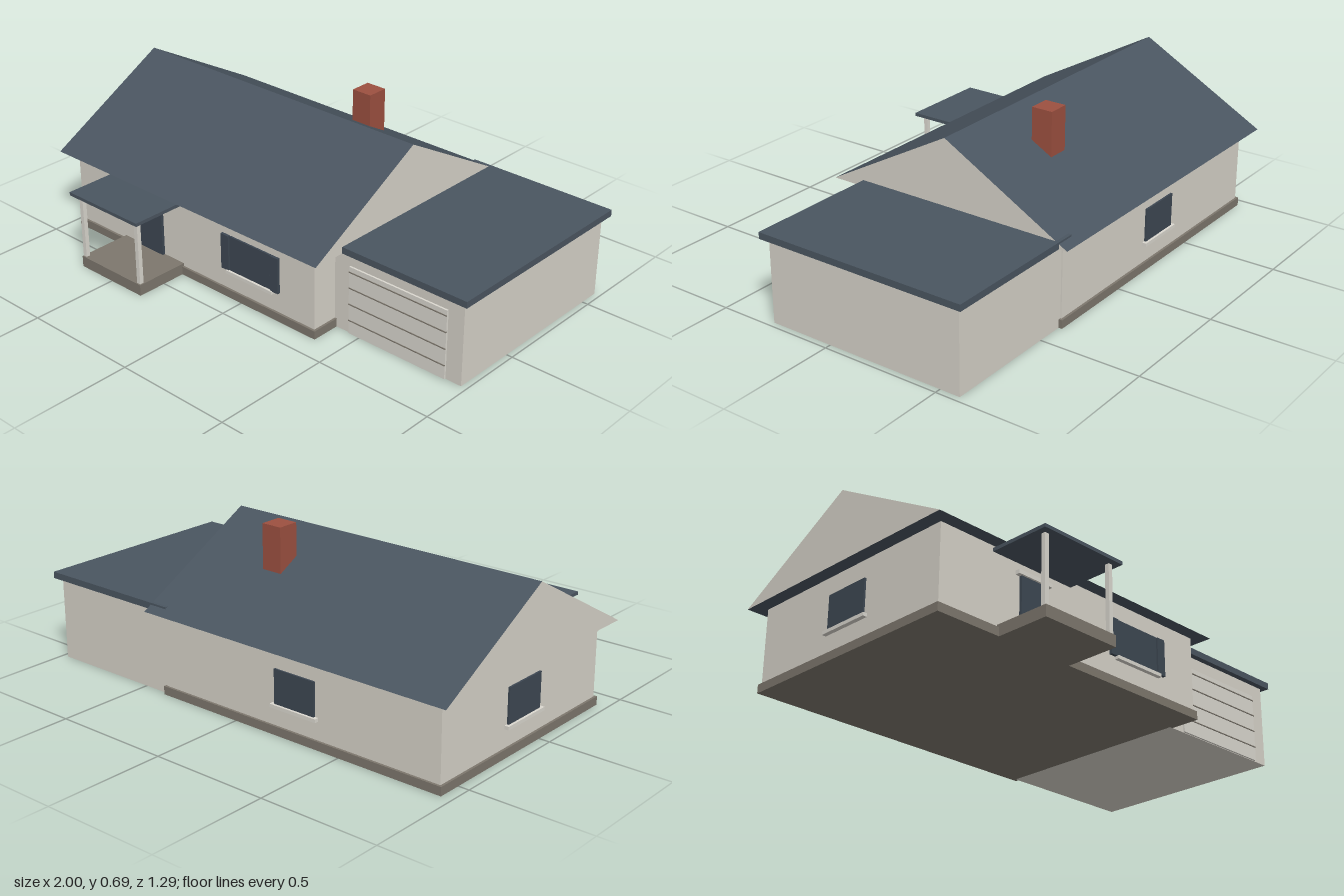
import * as THREE from 'three';

const mat = (name, color) => {
  const m = new THREE.MeshStandardMaterial({ color });
  m.name = name;
  return m;
};

export function createModel() {
  const house = new THREE.Group();
  house.name = 'house';
  const wall = mat('wall cream', 0xd6d2c8);
  const trim = mat('trim white', 0xdad7cf);
  const roof = mat('roof slate', 0x4a5560);
  const stone = mat('base stone', 0x7d776d);
  const brick = mat('chimney brick', 0x9c5040);
  const glass = mat('dark glass', 0x3d4752);

  // Box given by its extents on each axis
  const box = (name, material, [x0, x1], [y0, y1], [z0, z1], parent = house) => {
    const g = new THREE.BoxGeometry(x1 - x0, y1 - y0, z1 - z0);
    const m = new THREE.Mesh(g, material);
    m.position.set((x0 + x1) / 2, (y0 + y1) / 2, (z0 + z1) / 2);
    m.name = name;
    parent.add(m);
    return m;
  };

  // Main body and plinth
  box('plinth', stone, [-0.955, 0.385], [0, 0.035], [-0.6, 0.4]);
  box('mainWalls', wall, [-0.945, 0.375], [0.005, 0.346], [-0.59, 0.39]);

  // Gabled roof: cream gable ends, slate slopes
  const gable = new THREE.Shape([
    new THREE.Vector2(-0.445, 0.345),
    new THREE.Vector2(0.645, 0.345),
    new THREE.Vector2(0.1, 0.645),
  ]);
  const roofGeo = new THREE.ExtrudeGeometry(gable, { depth: 1.43, bevelEnabled: false });
  roofGeo.rotateY(Math.PI / 2);
  const mainRoof = new THREE.Mesh(roofGeo, [wall, roof]);
  mainRoof.position.x = -1;
  mainRoof.name = 'mainRoof';
  house.add(mainRoof);

  box('chimney', brick, [0, 0.09], [0.45, 0.695], [-0.34, -0.25]);

  // Garage with flat roof and panelled door
  box('garageWalls', wall, [0.37, 0.975], [0, 0.346], [-0.585, 0.275]);
  box('garageRoof', roof, [0.35, 1], [0.345, 0.372], [-0.61, 0.3]);
  box('garageDoor', trim, [0.45, 0.905], [0.002, 0.29], [0.27, 0.283]);
  for (const y of [0.06, 0.13, 0.2, 0.268]) {
    box('garageDoorSeam', stone, [0.45, 0.905], [y - 0.002, y + 0.002], [0.28, 0.286]);
  }

  // Porch: slab, canopy and two posts
  box('porchSlab', stone, [-0.675, -0.33], [0, 0.047], [0.39, 0.625]);
  box('porchCanopy', roof, [-0.7, -0.31], [0.322, 0.336], [0.39, 0.645]);
  for (const x of [-0.665, -0.345]) {
    box('porchPost', trim, [x - 0.009, x + 0.009], [0.047, 0.323], [0.601, 0.619]);
  }

  // Front door
  box('frontDoor', glass, [-0.57, -0.44], [0.047, 0.272], [0.385, 0.402]);
  box('doorLintel', trim, [-0.59, -0.425], [0.272, 0.288], [0.385, 0.41]);

  // Window facing +z in its own frame, origin on the wall at sill height
  const addWindow = (name, width, height, x, z, turn) => {
    const w = new THREE.Group();
    w.name = name;
    const h = width / 2;
    box('pane', glass, [-h, h], [0, height], [-0.005, 0.008], w);
    box('sill', trim, [-h - 0.015, h + 0.015], [-0.012, 0.002], [-0.005, 0.018], w);
    w.position.set(x, 0.122, z);
    w.rotation.y = turn;
    house.add(w);
    return w;
  };
  const front = addWindow('frontWindow', 0.213, 0.152, 0.0485, 0.39, 0);
  for (const s of [-1, 1]) {
    const c = s * 0.1305;
    box('shutter', glass, [c - 0.02, c + 0.02], [0, 0.152], [-0.005, 0.012], front);
  }
  addWindow('backWindow', 0.19, 0.14, -0.29, -0.59, Math.PI);
  addWindow('leftWindow', 0.2, 0.145, -0.945, -0.1, -Math.PI / 2);

  return house;
}
